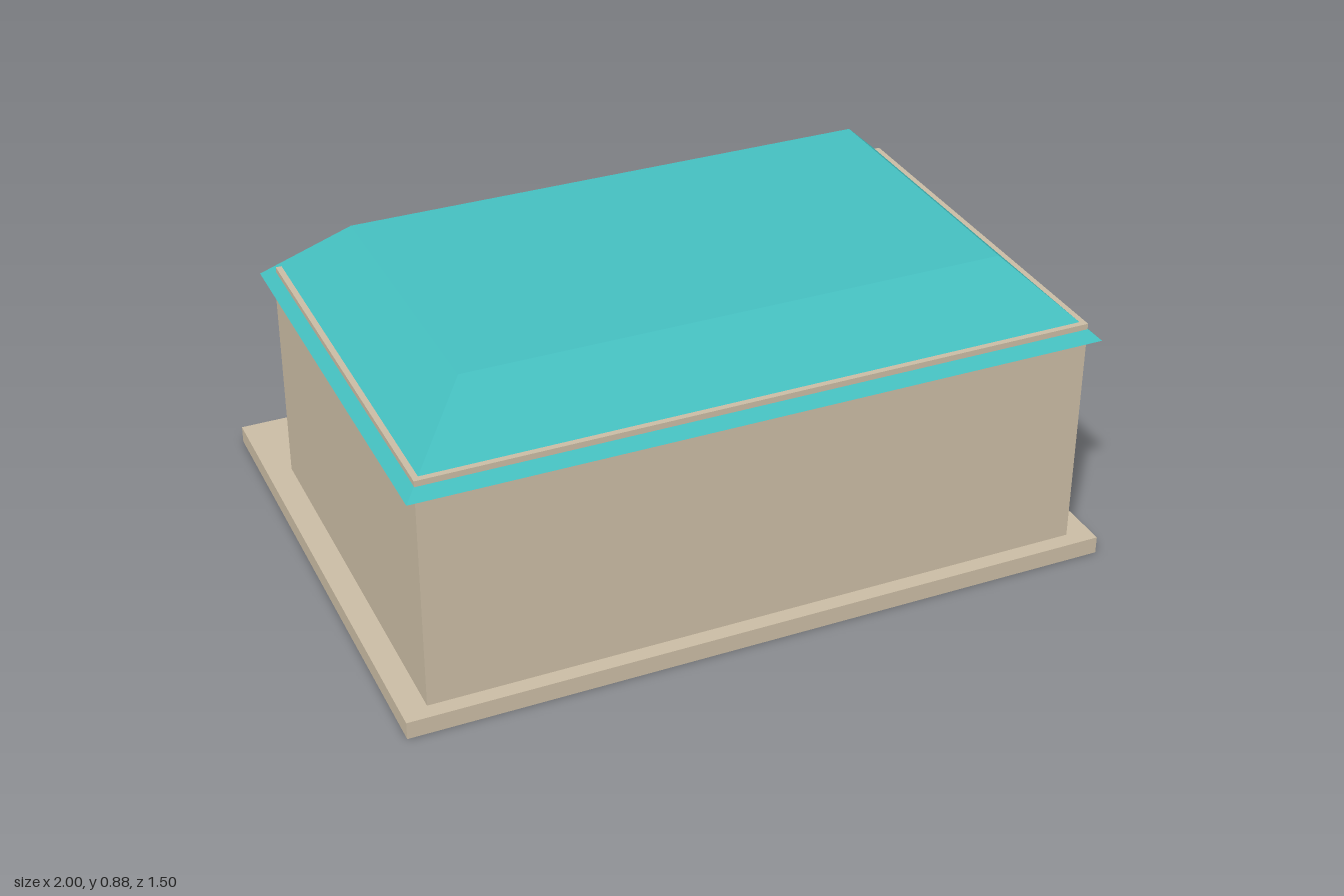
import * as THREE from 'three';

export function createModel() {
  const model = new THREE.Group();
  const material = (name, color) => {
    const m = new THREE.MeshStandardMaterial({ color });
    m.name = name;
    return m;
  };
  const plaster = material('sand plaster', 0xcabca4);
  const teal = material('teal roof', 0x45bfc0);
  const dark = material('dark slate', 0x1f3b42);

  // Box given by its limits on each axis
  const box = (name, mat, [x0, x1], [y0, y1], [z0, z1], parent = model) => {
    const mesh = new THREE.Mesh(new THREE.BoxGeometry(x1 - x0, y1 - y0, z1 - z0), mat);
    mesh.position.set((x0 + x1) / 2, (y0 + y1) / 2, (z0 + z1) / 2);
    mesh.name = name;
    parent.add(mesh);
    return mesh;
  };

  // Ground slab
  box('slab', plaster, [-1, 1], [0, 0.05], [-0.75, 0.75]);

  // Front and side walls, rising slightly through the eaves
  const wallY = [0.05, 0.72];
  box('frontWall', plaster, [-0.93, 0.93], wallY, [0.655, 0.705]);
  box('leftWall', plaster, [0.88, 0.93], wallY, [-0.45, 0.655]);
  box('rightWall', plaster, [-0.93, -0.88], wallY, [-0.45, 0.655]);

  // Back wall with two doorways open to the floor
  const outline = [
    [-0.93, 0.05], [-0.62, 0.05], [-0.62, 0.45], [-0.15, 0.45], [-0.15, 0.05], [0.15, 0.05],
    [0.15, 0.45], [0.62, 0.45], [0.62, 0.05], [0.93, 0.05], [0.93, 0.69], [-0.93, 0.69],
  ].map(([x, y]) => new THREE.Vector2(x, y));
  const backWall = new THREE.Mesh(
    new THREE.ExtrudeGeometry(new THREE.Shape(outline), { depth: 0.05, bevelEnabled: false }), plaster);
  backWall.position.z = -0.475;
  backWall.name = 'backWall';
  model.add(backWall);

  // Hipped roof with a flat top: a box whose upper corners move inward
  const roofGeometry = new THREE.BoxGeometry(1.92, 0.2, 1.245);
  const p = roofGeometry.attributes.position;
  for (let i = 0; i < p.count; i++) {
    if (p.getY(i) > 0) {
      p.setX(i, Math.sign(p.getX(i)) * 0.75);
      p.setZ(i, Math.sign(p.getZ(i)) * 0.422);
    }
  }
  roofGeometry.computeVertexNormals();
  const roof = new THREE.Mesh(roofGeometry, teal);
  roof.position.set(0, 0.776, 0.11);
  roof.name = 'roof';
  model.add(roof);

  // Blank sign above the doorways
  box('signBoard', dark, [-0.28, 0.28], [0.53, 0.63], [-0.512, -0.475]);

  // Vent slats on the left wall
  const vent = new THREE.Group();
  vent.name = 'vent';
  model.add(vent);
  for (let i = 0; i < 5; i++) {
    const y = 0.45 + i * 0.028;
    box('ventSlat', dark, [0.92, 0.95], [y - 0.008, y + 0.008], [-0.188, 0.188], vent);
  }
  return model;
}
